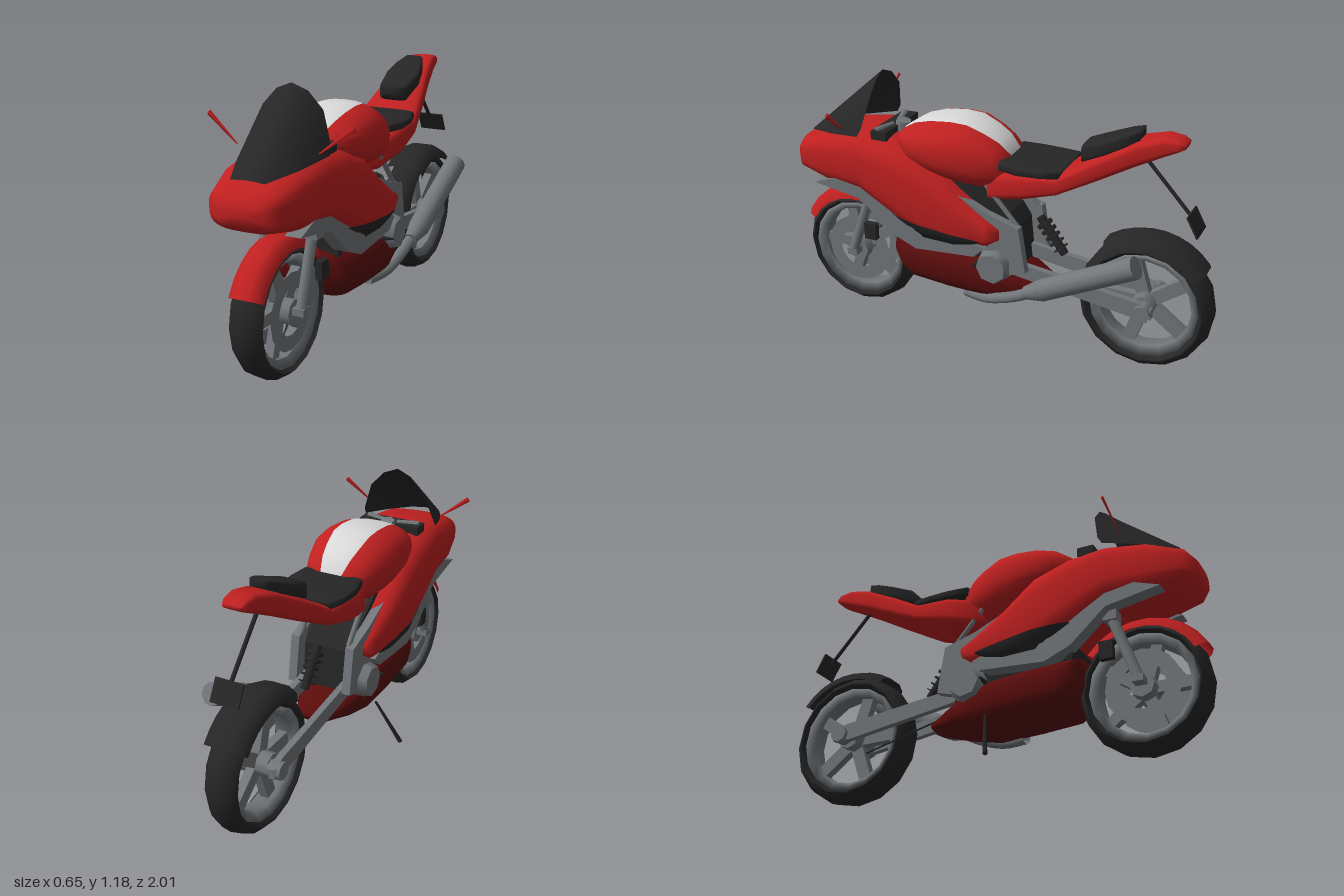
import * as THREE from 'three';

const mat = (name, color) => new THREE.MeshStandardMaterial({ name, color, side: THREE.DoubleSide });
const V = (x, y, z) => new THREE.Vector3(x, y, z);

export function createModel() {
  const red = mat('red paint', 0xc02020), darkRed = mat('dark red paint', 0x5a0c0c);
  const black = mat('black', 0x262626), grey = mat('grey metal', 0x72777b), white = mat('white stripe', 0xd9d9d9);
  const bike = new THREE.Group();
  bike.name = 'motorcycle';

  const add = (name, geo, material, parent = bike) => {
    const m = new THREE.Mesh(geo, material);
    m.name = name;
    parent.add(m);
    return m;
  };

  // Skin through rows of points; wrap closes each row and caps the ends
  const skin = (rows, wrap = false, inStripe = () => false) => {
    const n = rows[0].length, pos = rows.flat().flatMap(p => [p.x, p.y, p.z]);
    const main = [], stripe = [];
    const cols = wrap ? n : n - 1;
    for (let j = 0; j < cols; j++) {
      const out = inStripe(j) ? stripe : main, k = (j + 1) % n;
      for (let i = 0; i < rows.length - 1; i++) {
        const a = i * n, b = a + n;
        out.push(a + j, b + j, a + k, b + j, b + k, a + k);
      }
    }
    if (wrap) {
      [rows[0], rows[rows.length - 1]].forEach((row, e) => {
        const c = row.reduce((s, p) => s.add(p), V(0, 0, 0)).divideScalar(n), ci = pos.length / 3;
        pos.push(c.x, c.y, c.z);
        const base = e ? (rows.length - 1) * n : 0;
        for (let j = 0; j < n; j++) {
          const k = (j + 1) % n, out = inStripe(j) ? stripe : main;
          e ? out.push(ci, base + k, base + j) : out.push(ci, base + j, base + k);
        }
      });
    }
    const g = new THREE.BufferGeometry();
    g.setAttribute('position', new THREE.Float32BufferAttribute(pos, 3));
    g.setIndex([...main, ...stripe]);
    g.addGroup(0, main.length, 0);
    if (stripe.length) g.addGroup(main.length, stripe.length, 1);
    g.computeVertexNormals();
    return g;
  };

  // Body from rounded sections [z, half width, bottom, top], front to back
  const body = (sections, power, inStripe, n = 32) => skin(sections.map(([z, w, lo, hi]) =>
    Array.from({ length: n }, (_, j) => {
      const a = j / n * Math.PI * 2, c = Math.cos(a), s = Math.sin(a);
      const f = t => Math.sign(t) * Math.abs(t) ** (2 / power);
      return V(w * f(c), (lo + hi) / 2 + (hi - lo) / 2 * f(s), z);
    })), true, inStripe);

  // Flat part cut from a [z, y] outline, from x0 to x1
  const plate = (name, pts, x0, x1, material, parent) => {
    const shape = new THREE.Shape(pts.map(p => new THREE.Vector2(...p)));
    const g = new THREE.ExtrudeGeometry(shape, { depth: x1 - x0, bevelEnabled: false });
    return add(name, g.rotateY(-Math.PI / 2).translate(x1, 0, 0), material, parent);
  };
  const rod = (name, a, b, ra, rb, material, sides = 10, parent = bike) => {
    const d = b.clone().sub(a);
    const m = add(name, new THREE.CylinderGeometry(rb, ra, d.length(), sides), material, parent);
    m.position.copy(a).addScaledVector(d, 0.5);
    m.quaternion.setFromUnitVectors(V(0, 1, 0), d.normalize());
    return m;
  };
  const box = (name, w, h, d, x, y, z, material, parent) => {
    const m = add(name, new THREE.BoxGeometry(w, h, d), material, parent);
    m.position.set(x, y, z);
    return m;
  };

  // Wheels
  const wheel = (name, z, y, R, rim, spokeW) => {
    const g = new THREE.Group();
    g.name = name;
    g.position.set(0, y, z);
    bike.add(g);
    const ring = pts => new THREE.LatheGeometry(pts.map(p => new THREE.Vector2(...p)), 16).rotateZ(Math.PI / 2);
    add('tyre', ring([[rim, -0.05], [rim + 0.015, -0.073], [R - 0.035, -0.075], [R - 0.008, -0.045], [R, 0],
      [R - 0.008, 0.045], [R - 0.035, 0.075], [rim + 0.015, 0.073], [rim, 0.05]]), black, g);
    add('rim', ring([[rim - 0.035, -0.035], [rim, -0.06], [rim, 0.06], [rim - 0.035, 0.035], [rim - 0.035, -0.035]]), grey, g);
    rod('hub', V(-0.075, 0, 0), V(0.075, 0, 0), 0.055, 0.055, grey, 8, g);
    for (let i = 0; i < 5; i++) {
      const a = i / 5 * Math.PI * 2 + 0.3, r = (rim - 0.02) / 2;
      const s = box('spoke', 0.04, rim - 0.02, spokeW, 0, Math.cos(a) * r, Math.sin(a) * r, grey, g);
      s.rotation.x = a;
    }
    return g;
  };
  const front = wheel('frontWheel', 0.72, 0.295, 0.285, 0.235, 0.05);
  for (const s of [-1, 1])
    add('brakeDisc', new THREE.RingGeometry(0.1, 0.165, 16).rotateY(Math.PI / 2).translate(s * 0.06, 0, 0), grey, front);
  wheel('rearWheel', -0.695, 0.31, 0.305, 0.245, 0.06);

  // Mudguards bent around the wheels
  const mudguard = (name, z, y, R, w, from, to, material) => {
    const profile = [[-1, -0.05], [-0.85, -0.015], [-0.4, 0.005], [0.4, 0.005], [0.85, -0.015], [1, -0.05]];
    add(name, skin(Array.from({ length: 9 }, (_, i) => {
      const a = (from + (to - from) * i / 8) * Math.PI / 180;
      return profile.map(([u, d]) => V(u * w, y + Math.sin(a) * (R + d), z + Math.cos(a) * (R + d)));
    })), material);
  };
  mudguard('frontMudguard', 0.72, 0.295, 0.31, 0.075, 27, 142, red);
  mudguard('rearMudguard', -0.695, 0.31, 0.325, 0.1, 54, 142, black);

  // Main fairing
  const shell = [[0.99, 0.1, 0.72, 0.81], [0.95, 0.155, 0.69, 0.855], [0.8, 0.195, 0.655, 0.91], [0.62, 0.21, 0.64, 0.935],
    [0.46, 0.22, 0.545, 0.92], [0.3, 0.222, 0.455, 0.87], [0.15, 0.21, 0.455, 0.745], [0, 0.19, 0.485, 0.64], [-0.06, 0.175, 0.53, 0.6]];
  add('fairing', body(shell, 3.2), red);
  const shellX = (z, y) => {
    const i = Math.max(1, shell.findIndex(s => s[0] <= z)), p = shell[i - 1], q = shell[i], t = (p[0] - z) / (p[0] - q[0]);
    const [, w, lo, hi] = p.map((v, k) => v + (q[k] - v) * t);
    const u = Math.min(0.97, Math.abs((y - (lo + hi) / 2) / ((hi - lo) / 2)));
    return w * (1 - u ** 3.2) ** (1 / 3.2) + 0.007;
  };

  for (const s of [-1, 1]) {
    const span = (a, b) => s < 0 ? [-b, -a] : [a, b];
    // Black side panel lying on the fairing
    const edges = [[0.46, 0.585, 0.58], [0.42, 0.582, 0.535], [0.38, 0.578, 0.49], [0.3, 0.57, 0.48],
      [0.22, 0.56, 0.478], [0.15, 0.55, 0.475], [0.08, 0.543, 0.485], [0.02, 0.535, 0.53]];
    add('sidePanel', skin(edges.map(([z, hi, lo]) => Array.from({ length: 6 }, (_, k) => {
      const y = hi + (lo - hi) * k / 5;
      return V(s * shellX(z, y), y, z);
    }))), black);
    // Grey inner lining below the fairing edge
    plate('fairingLining', [[0.86, 0.665], [0.62, 0.622], [0.46, 0.48], [0.34, 0.43], [0.05, 0.45], [0, 0.5], [0.4, 0.66], [0.7, 0.72]],
      ...span(0.115, 0.185), grey);
    // Frame, engine cover and swingarm
    plate('framePlate', [[0.2, 0.745], [0, 0.655], [-0.15, 0.61], [-0.185, 0.4], [-0.08, 0.37], [0.02, 0.45], [0.1, 0.62]], ...span(0.115, 0.155), grey);
    rod('engineCover', V(s * 0.13, 0.41, -0.035), V(s * 0.195, 0.41, -0.035), 0.09, 0.07, grey, 7);
    plate('swingarm', [[-0.08, 0.43], [-0.4, 0.39], [-0.68, 0.355], [-0.75, 0.33], [-0.75, 0.285], [-0.66, 0.28], [-0.12, 0.36]], ...span(0.085, 0.115), grey);
    rod('seatRail', V(s * 0.12, 0.61, -0.13), V(s * 0.12, 0.78, 0.02), 0.012, 0.012, grey, 6);
    // Front fork
    rod('forkLeg', V(s * 0.105, 0.31, 0.72), V(s * 0.105, 0.66, 0.6), 0.024, 0.024, grey, 8);
    box('forkClamp', 0.065, 0.045, 0.06, s * 0.107, 0.605, 0.62, grey);
    box('axleEnd', 0.065, 0.03, 0.05, s * 0.095, 0.305, 0.72, grey);
    box('caliper', 0.03, 0.08, 0.06, s * 0.135, 0.445, 0.6, black);
    // Mirror and handlebar grip
    const mirror = rod('mirror', V(s * 0.18, 0.95, 0.7), V(s * 0.32, 1.06, 0.68), 0.003, 0.012, red, 4);
    mirror.scale.z = 0.5;
    rod('handlebar', V(s * 0.03, 0.95, 0.52), V(s * 0.13, 0.945, 0.55), 0.012, 0.018, grey, 6);
    rod('footPeg', V(s * 0.15, 0.405, 0.05), V(s * 0.205, 0.41, 0.05), 0.012, 0.004, black, 5);
  }
  rod('rearAxle', V(-0.135, 0.31, -0.71), V(0.135, 0.31, -0.71), 0.04, 0.04, grey, 8);
  box('radiator', 0.26, 0.13, 0.03, 0, 0.46, 0.43, black);
  plate('engineBlock', [[0.4, 0.86], [0.15, 0.765], [-0.06, 0.62], [-0.1, 0.56], [-0.12, 0.36], [0.4, 0.36]], -0.115, 0.115, black);

  // Belly pan
  add('bellyPan', body([[0.47, 0.14, 0.33, 0.46], [0.43, 0.165, 0.27, 0.465], [0.38, 0.175, 0.235, 0.46], [0.2, 0.178, 0.22, 0.45],
    [0, 0.17, 0.21, 0.43], [-0.12, 0.14, 0.235, 0.37], [-0.26, 0.07, 0.27, 0.305]], 2.7), darkRed);

  // Fuel tank with white centre stripe
  add('fuelTank', body([[0.475, 0.07, 0.88, 0.93], [0.45, 0.12, 0.855, 0.955], [0.38, 0.175, 0.815, 1.0], [0.3, 0.197, 0.78, 1.025],
    [0.2, 0.2, 0.755, 1.037], [0.12, 0.195, 0.745, 1.033], [0.04, 0.175, 0.74, 1.0], [-0.02, 0.15, 0.755, 0.965], [-0.07, 0.115, 0.8, 0.91]],
  2.4, j => j >= 6 && j <= 9), [red, white]);

  // Tail and seats
  add('tail', body([[0.01, 0.13, 0.7, 0.84], [-0.15, 0.16, 0.735, 0.875], [-0.31, 0.15, 0.785, 0.88], [-0.47, 0.12, 0.865, 0.975],
    [-0.63, 0.085, 0.95, 1.06], [-0.74, 0.063, 1.005, 1.093], [-0.8, 0.055, 1.035, 1.085], [-0.825, 0.045, 1.05, 1.07]], 4), red);
  add('seat', body([[-0.05, 0.145, 0.86, 0.905], [-0.14, 0.162, 0.855, 0.9], [-0.24, 0.158, 0.86, 0.898], [-0.325, 0.135, 0.86, 0.905]], 5), black);
  add('rearPad', body([[-0.395, 0.07, 0.93, 1.01], [-0.5, 0.085, 0.98, 1.05], [-0.58, 0.068, 1.02, 1.085], [-0.635, 0.045, 1.05, 1.105]], 5), black);

  // Windscreen
  const low = [[-0.185, 0.925, 0.62], [-0.14, 0.9, 0.78], [-0.075, 0.878, 0.925], [0, 0.885, 0.93]];
  const high = [[-0.18, 0.96, 0.6], [-0.135, 1.09, 0.575], [-0.07, 1.16, 0.575], [0, 1.188, 0.58]];
  const arch = half => [...half, ...half.slice(0, 3).reverse().map(([x, y, z]) => [-x, y, z])].map(p => V(...p));
  add('windscreen', skin([arch(low), arch(high)]), black);

  // Dashboard
  box('dashboard', 0.3, 0.04, 0.075, 0, 0.93, 0.53, black);
  rod('steeringHead', V(0, 0.92, 0.49), V(0, 0.965, 0.48), 0.045, 0.035, grey, 6);

  // Exhaust
  const path = new THREE.CatmullRomCurve3([V(0.11, 0.225, 0.12), V(0.145, 0.235, 0), V(0.165, 0.28, -0.13), V(0.18, 0.345, -0.25)]);
  add('exhaustPipe', new THREE.TubeGeometry(path, 12, 0.026, 8), grey);
  rod('silencerCone', V(0.18, 0.325, -0.2), V(0.187, 0.36, -0.28), 0.03, 0.05, grey, 12);
  rod('silencer', V(0.187, 0.36, -0.28), V(0.205, 0.572, -0.7), 0.05, 0.05, grey, 12);

  // Rear shock with coils
  const top = V(0, 0.615, -0.19), end = V(0, 0.455, -0.31);
  rod('shock', end, top, 0.02, 0.02, black, 8);
  for (let i = 0; i < 5; i++) {
    const a = top.clone().lerp(end, 0.15 + i * 0.17), b = a.clone().lerp(end, 0.1);
    rod('shockCoil', a, b, 0.036, 0.036, black, 10);
  }

  // Number plate holder, chain and side stand
  rod('plateArm', V(0, 0.98, -0.65), V(0, 0.73, -0.88), 0.009, 0.009, black, 6);
  const sign = box('rearPlate', 0.13, 0.1, 0.008, 0, 0.725, -0.885, black);
  sign.rotation.x = 0.5;
  rod('chain', V(-0.06, 0.31, -0.24), V(-0.06, 0.22, -0.6), 0.004, 0.004, black, 5);
  rod('sideStand', V(-0.165, 0.25, 0.055), V(-0.27, 0.035, 0.11), 0.006, 0.011, black, 5);

  return bike;
}
